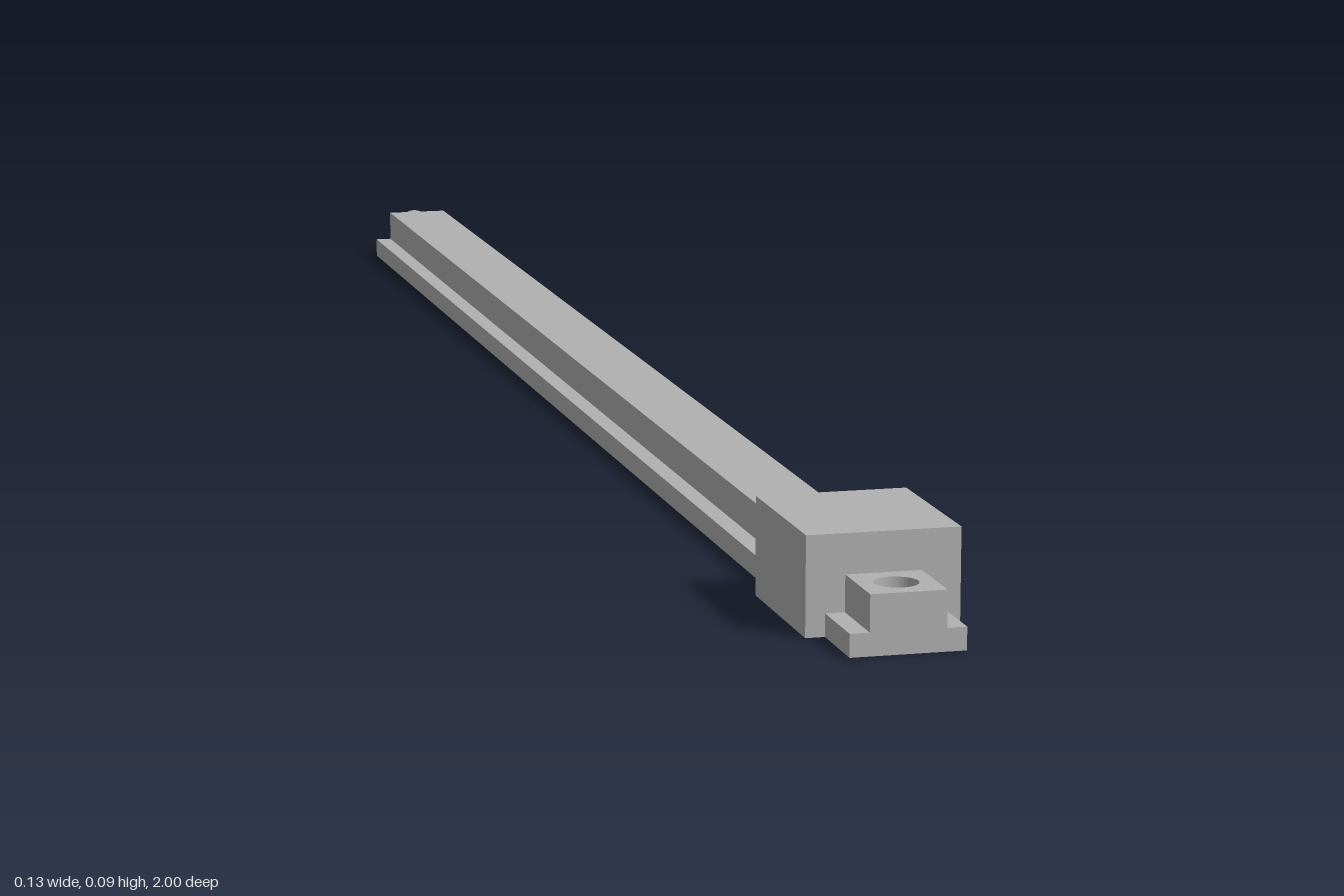
import * as THREE from 'three';

export function createModel() {
  const group = new THREE.Group();
  const grey = new THREE.MeshStandardMaterial({ color: 0xb0b0b0 });
  grey.name = 'grey';

  const add = (name, geometry, x, y, z) => {
    const mesh = new THREE.Mesh(geometry, grey);
    mesh.name = name;
    mesh.position.set(x, y, z);
    group.add(mesh);
    return mesh;
  };

  const back = -0.982, front = 1, length = front - back, middle = (front + back) / 2;
  const baseHeight = 0.02, railHeight = 0.052;

  // Wide base flange of the rail
  add('railBase', new THREE.BoxGeometry(0.1, baseHeight, length), 0, baseHeight / 2, middle);

  // Raised rail, a plan outline with a round hole near the front, extruded upwards
  const half = 0.033;
  const plan = new THREE.Shape([
    new THREE.Vector2(-half, -front), new THREE.Vector2(half, -front),
    new THREE.Vector2(half, -back), new THREE.Vector2(-half, -back),
  ]);
  const hole = new THREE.Path();
  hole.absarc(0, -0.965, 0.019, 0, Math.PI * 2, true);
  plan.holes.push(hole);
  const railTop = new THREE.ExtrudeGeometry(plan, {
    depth: railHeight - baseHeight, bevelEnabled: false, curveSegments: 24,
  });
  railTop.rotateX(-Math.PI / 2);
  add('railTop', railTop, 0, baseHeight, 0);

  // Sliding carriage block
  add('carriage', new THREE.BoxGeometry(0.134, 0.087, 0.152), 0, 0.0435, 0.854);

  // Hollow flanged socket on the back end
  const profile = [
    [0, 0], [0.012, 0], [0.012, 0.018], [0.018, 0.018], [0.018, 0.007], [0.014, 0.007], [0.014, 0],
  ].map(([r, h]) => new THREE.Vector2(r, h));
  // Reversed so the faces look outwards; separate rings keep the edges sharp
  profile.reverse();
  for (let i = 0; i < profile.length - 1; i++) {
    const ring = new THREE.LatheGeometry([profile[i], profile[i + 1]], 32);
    ring.rotateX(-Math.PI / 2);
    // The bottom of the bore sits just proud of the rail end
    add('endSocket', ring, 0, 0.033, back - 0.0005);
  }

  return group;
}
